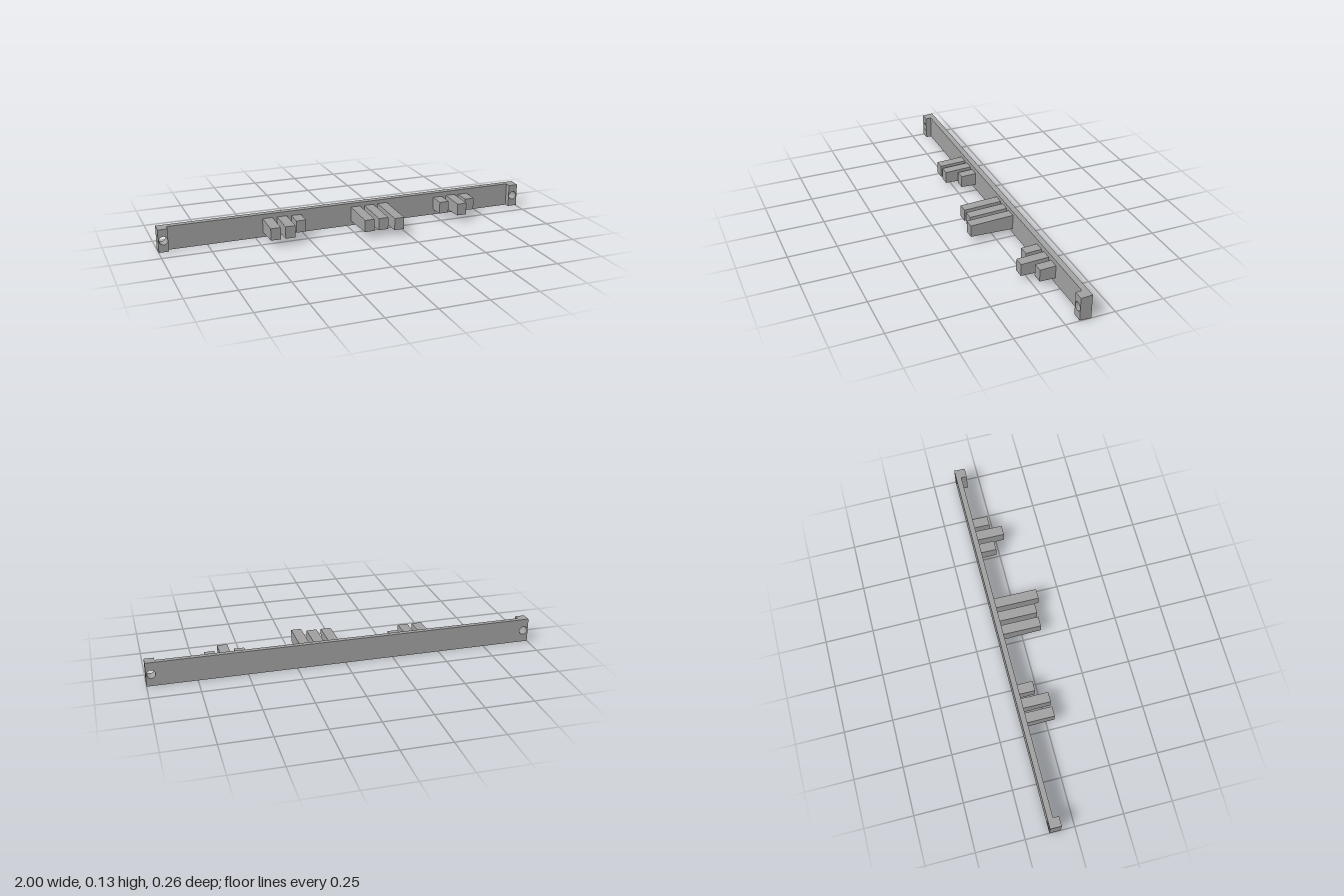
import * as THREE from 'three';

const MID = 0.063, BACK = -0.128, FACE = -0.1, LIP = -0.07;
const DRAFT = 0.06; // slope of the rail's top and bottom faces
const HOLE_X = 0.974, HOLE_R = 0.022;

const grey = new THREE.MeshStandardMaterial({ color: 0xa0a0a0 });
grey.name = 'plain grey';

// Drafted slab from z0 to z1 with round screw holes
function slab(name, x0, x1, z0, z1, holes) {
  const s = new THREE.Shape();
  s.moveTo(x0, -MID);
  s.lineTo(x1, -MID);
  s.lineTo(x1, MID);
  s.lineTo(x0, MID);
  s.closePath();
  for (const hx of holes) {
    const h = new THREE.Path();
    h.absarc(hx, 0, HOLE_R, 0, Math.PI * 2, true);
    s.holes.push(h);
  }
  const g = new THREE.ExtrudeGeometry(s, { depth: z1 - z0, bevelEnabled: false, curveSegments: 20 });
  g.translate(0, 0, z0);
  const p = g.attributes.position;
  for (let i = 0; i < p.count; i++) {
    const y = p.getY(i);
    // only the outer edges taper, the holes stay straight
    if (Math.abs(y) > 0.05) p.setY(i, Math.sign(y) * (MID - DRAFT * (p.getZ(i) - BACK)));
  }
  g.translate(0, MID, 0);
  g.computeVertexNormals();
  const m = new THREE.Mesh(g, grey);
  m.name = name;
  return m;
}

// Prong that grows slightly taller towards its root
function prong(x, tip) {
  const root = FACE - 0.005, len = tip - root;
  const tipH = 0.063, rootH = tipH + 0.07 * len;
  const g = new THREE.BoxGeometry(0.052, 1, len);
  const p = g.attributes.position;
  for (let i = 0; i < p.count; i++) {
    p.setY(i, p.getY(i) * (p.getZ(i) > 0 ? tipH : rootH));
  }
  g.translate(x, 0.0645, root + len / 2);
  g.computeVertexNormals();
  const m = new THREE.Mesh(g, grey);
  m.name = 'prong';
  return m;
}

export function createModel() {
  const model = new THREE.Group();
  model.name = 'prongedRail';

  // Long back plate and the raised mounting pads at its ends
  model.add(slab('backPlate', -1, 1, BACK, FACE, [-HOLE_X, HOLE_X]));
  model.add(slab('leftEndPad', 0.95, 1, FACE, LIP, [HOLE_X]));
  model.add(slab('rightEndPad', -1, -0.95, FACE, LIP, [-HOLE_X]));

  // Three clusters of prongs: [centre x, tip z]
  const clusters = {
    rightProngs: [[-0.435, 0.043], [-0.358, 0.043], [-0.282, -0.018]],
    middleProngs: [[0.047, 0.1], [0.123, 0.1], [0.199, 0.128]],
    leftProngs: [[0.525, -0.018], [0.601, 0.043], [0.676, -0.018]],
  };
  for (const [name, list] of Object.entries(clusters)) {
    const g = new THREE.Group();
    g.name = name;
    for (const [x, tip] of list) g.add(prong(x, tip));
    model.add(g);
  }
  return model;
}
